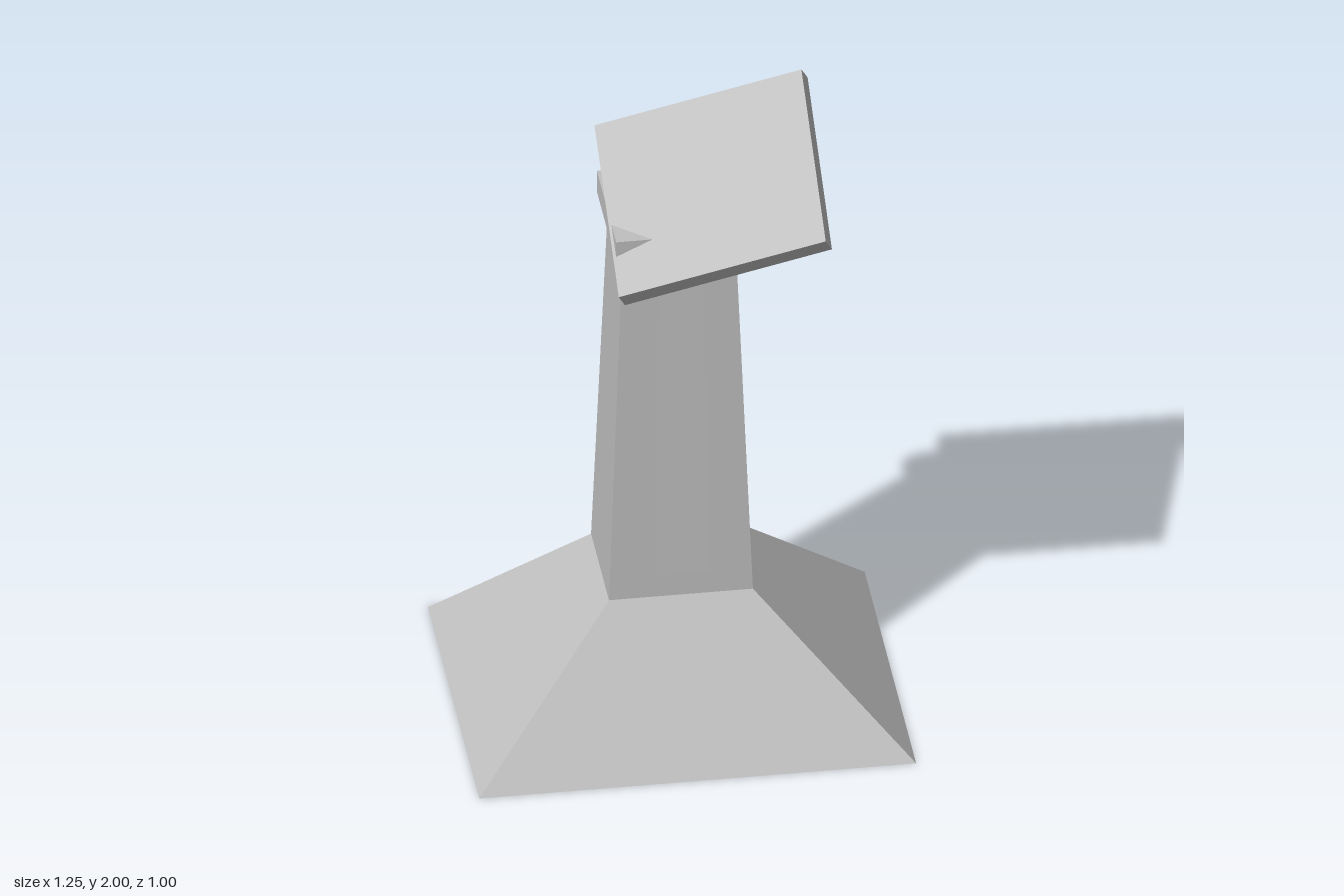
import * as THREE from 'three';

const stone = new THREE.MeshStandardMaterial({ color: 0xc0c0c0, flatShading: true, side: THREE.DoubleSide });
stone.name = 'light grey';

// Open four-sided tapered shell; each end is [half x, half z]
function taperedShell(name, y0, y1, bottom, top) {
  const geo = new THREE.CylinderGeometry(1, 1, 1, 4, 1, true, Math.PI / 4).toNonIndexed();
  const p = geo.attributes.position;
  for (let i = 0; i < p.count; i++) {
    const upper = p.getY(i) > 0;
    const [hx, hz] = upper ? top : bottom;
    p.setXYZ(i, Math.sign(p.getX(i)) * hx, upper ? y1 : y0, Math.sign(p.getZ(i)) * hz);
  }
  geo.computeVertexNormals();
  const mesh = new THREE.Mesh(geo, stone);
  mesh.name = name;
  return mesh;
}

// Thin tapered sheet facing +z, leaning with the column
function inlaySheet(name, angle) {
  const geo = new THREE.PlaneGeometry(2, 1);
  const p = geo.attributes.position;
  for (let i = 0; i < p.count; i++) {
    const upper = p.getY(i) > 0;
    p.setXYZ(i, p.getX(i) * (upper ? 0.065 : 0.08), upper ? 1.51 : 0.51, upper ? 0.165 : 0.205);
  }
  geo.computeVertexNormals();
  const mesh = new THREE.Mesh(geo, stone);
  mesh.name = name;
  mesh.rotation.y = angle;
  return mesh;
}

export function createModel() {
  const model = new THREE.Group();
  model.name = 'pedestal';

  // Flared foot and column, both hollow
  model.add(taperedShell('foot', 0, 0.42, [0.625, 0.5], [0.206, 0.174]));
  model.add(taperedShell('column', 0.42, 1.57, [0.206, 0.174], [0.162, 0.139]));

  // Inlay sheets on the four sides
  ['frontInlay', 'leftInlay', 'backInlay', 'rightInlay'].forEach((name, i) =>
    model.add(inlaySheet(name, i * Math.PI / 2)));

  // Square cap
  const cap = new THREE.Mesh(new THREE.BoxGeometry(0.375, 0.07, 0.375), stone);
  cap.name = 'cap';
  cap.position.y = 1.603;
  model.add(cap);

  // Slanted plate, placed by the corners of its upper face
  const backRight = new THREE.Vector3(-0.195, 1.79, -0.19);
  const across = new THREE.Vector3(0.575, 0.21, 0.117);
  const down = new THREE.Vector3(0, -0.265, 0.488);
  const thickness = 0.055;
  const xAxis = across.clone().normalize();
  const yAxis = down.clone().cross(across).normalize();
  const zAxis = xAxis.clone().cross(yAxis);
  const plate = new THREE.Mesh(new THREE.BoxGeometry(across.length(), thickness, down.length()), stone);
  plate.name = 'slantedPlate';
  plate.quaternion.setFromRotationMatrix(new THREE.Matrix4().makeBasis(xAxis, yAxis, zAxis));
  plate.position.copy(backRight).addScaledVector(across, 0.5).addScaledVector(down, 0.5)
    .addScaledVector(yAxis, -thickness / 2);
  model.add(plate);

  return model;
}
